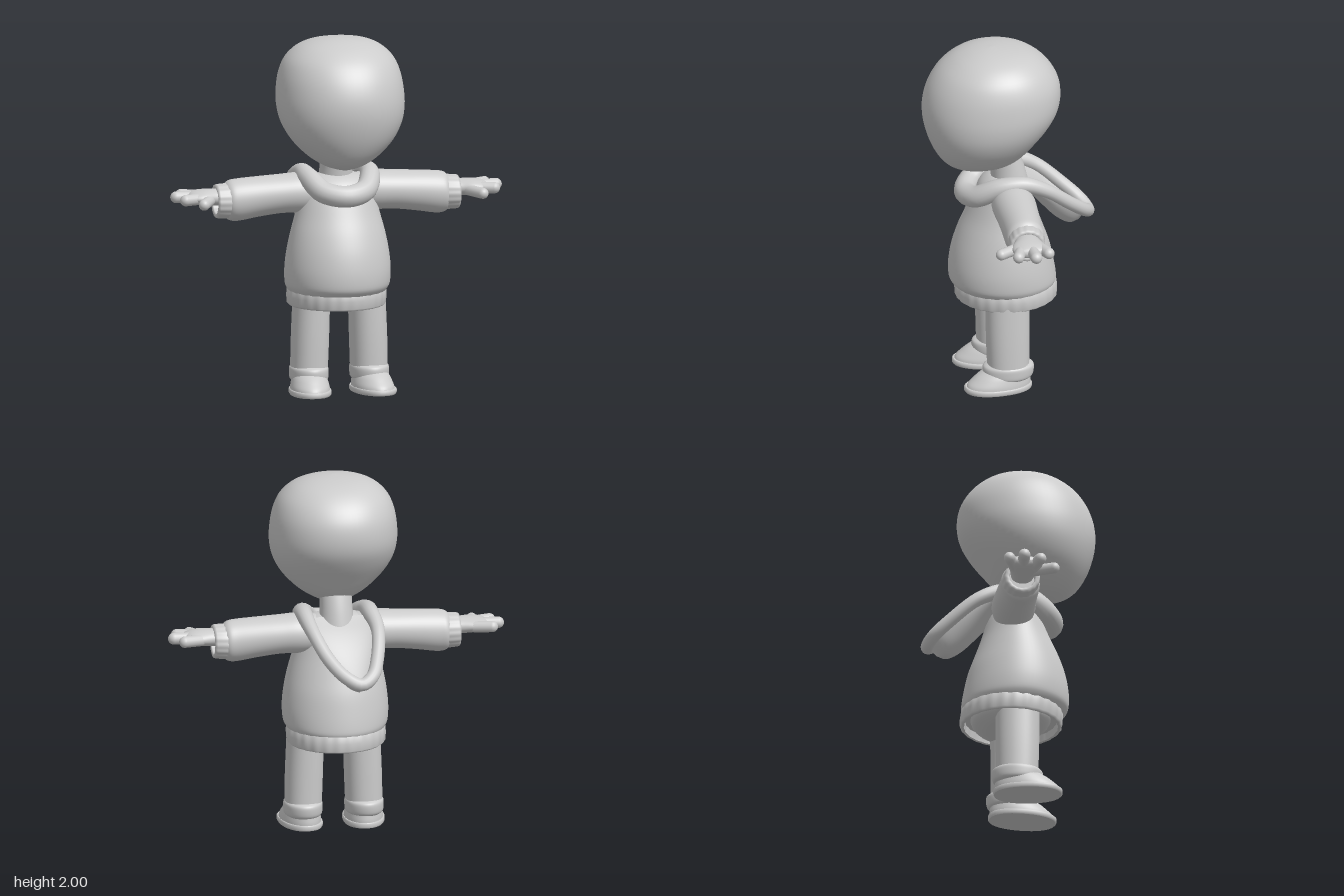
import * as THREE from 'three';

const grey = new THREE.MeshStandardMaterial({ color: 0xcccccc });
const greyDouble = new THREE.MeshStandardMaterial({ color: 0xcccccc, side: THREE.DoubleSide });
const V = (x, y, z) => new THREE.Vector3(x, y, z);

function spline(rows, t) {
  const k = Math.min(Math.floor(t), rows.length - 2), f = t - k;
  const at = i => rows[Math.max(0, Math.min(rows.length - 1, i))];
  return rows[k].map((b, c) => {
    const a = at(k - 1)[c], d = at(k + 1)[c], e = at(k + 2)[c];
    const m0 = (d - a) / 2, m1 = (e - b) / 2;
    return b + m0 * f + (3 * (d - b) - 2 * m0 - m1) * f * f + (2 * (b - d) + m0 + m1) * f * f * f;
  });
}

// Closed skin over rows of [height, half width, front z, back z, centre x]; repeated rows make a crease
function loft(rows, { steps = 4, segs = 48, power = 2, ribs = 0, ribDepth = 0 } = {}) {
  rows = rows.map(r => [r[0], r[1], r[2], r[3], r[4] ?? 0]);
  const rings = [];
  for (let i = 0; i <= (rows.length - 1) * steps; i++) rings.push(spline(rows, i / steps));
  const cap = r => [r[0], 0, (r[2] + r[3]) / 2, (r[2] + r[3]) / 2, r[4]];
  const first = rings[0], last = rings[rings.length - 1];
  rings.unshift(cap(first), first);
  rings.push(last, cap(last));
  const pos = [], index = [];
  const bend = v => Math.sign(v) * Math.abs(v) ** (2 / power);
  rings.forEach(([y, w, zf, zb, cx], j) => {
    for (let i = 0; i < segs; i++) {
      const a = i / segs * Math.PI * 2, k = 1 + ribDepth * Math.cos(a * ribs);
      pos.push(cx + w * k * bend(Math.cos(a)), y, (zf + zb) / 2 + (zf - zb) / 2 * k * bend(Math.sin(a)));
      if (j === rings.length - 1) continue;
      const p = j * segs + i, q = j * segs + (i + 1) % segs;
      index.push(p, p + segs, q, q, p + segs, q + segs);
    }
  });
  const g = new THREE.BufferGeometry();
  g.setAttribute('position', new THREE.Float32BufferAttribute(pos, 3));
  g.setIndex(index);
  g.computeVertexNormals();
  return g;
}

// Closed tube whose radius follows a rule
function ringTube(points, radius) {
  const curve = new THREE.CatmullRomCurve3(points, true), n = 96, m = 16;
  const g = new THREE.TubeGeometry(curve, n, 1, m, true);
  const p = g.attributes.position, nor = g.attributes.normal;
  for (let i = 0; i < p.count; i++) {
    const c = curve.getPointAt(Math.floor(i / (m + 1)) / n % 1);
    const q = V().fromBufferAttribute(nor, i).multiplyScalar(radius(c)).add(c);
    p.setXYZ(i, q.x, q.y, q.z);
  }
  return g;
}

// Trough slung between two edge curves, sinking by depth(v) along its length
function trough(left, right, depth) {
  const g = new THREE.PlaneGeometry(1, 1, 24, 24), p = g.attributes.position;
  const leftCurve = new THREE.CatmullRomCurve3(left), rightCurve = new THREE.CatmullRomCurve3(right);
  for (let i = 0; i < p.count; i++) {
    const v = 0.5 - p.getY(i), a = (p.getX(i) + 0.5) * Math.PI;
    const l = leftCurve.getPoint(v), r = rightCurve.getPoint(v);
    const d = depth(v) * Math.max(0, Math.sin(a)) ** 0.7;
    const q = l.clone().add(r).multiplyScalar(0.5).addScaledVector(l.sub(r), Math.cos(a) / 2);
    p.setXYZ(i, q.x, q.y - 0.74 * d, q.z + 0.67 * d);
  }
  g.computeVertexNormals();
  return g;
}

function finger(a, b, r) {
  const d = b.clone().sub(a), g = new THREE.CapsuleGeometry(r, d.length(), 8, 16);
  g.applyQuaternion(new THREE.Quaternion().setFromUnitVectors(V(0, 1, 0), d.normalize()));
  const mid = a.clone().add(b).multiplyScalar(0.5);
  return g.translate(mid.x, mid.y, mid.z);
}

export function createModel() {
  const model = new THREE.Group();
  const add = (name, geometry, parent = model, material = grey) => {
    const mesh = new THREE.Mesh(geometry, material);
    mesh.name = name;
    parent.add(mesh);
    return mesh;
  };

  // Head and neck
  add('head', loft([
    [1.268, 0.02, 0.23, 0.1], [1.282, 0.08, 0.285, 0.045], [1.31, 0.14, 0.345, -0.015],
    [1.36, 0.21, 0.397, -0.075], [1.44, 0.285, 0.443, -0.14], [1.53, 0.334, 0.474, -0.21],
    [1.62, 0.353, 0.488, -0.262], [1.71, 0.351, 0.481, -0.28], [1.8, 0.336, 0.45, -0.268],
    [1.88, 0.303, 0.395, -0.222], [1.94, 0.245, 0.32, -0.155], [1.975, 0.175, 0.245, -0.08],
    [1.993, 0.095, 0.175, 0.01], [2, 0.01, 0.11, 0.09]], { segs: 64, power: 2.1 }));
  add('neck', loft([[1.15, 0.1, 0.1, -0.11], [1.27, 0.09, 0.11, -0.08], [1.42, 0.09, 0.13, -0.03]]));

  // Hooded top with a ribbed, hollow hem
  add('torso', loft([
    [0.56, 0.262, 0.295, -0.24], [0.585, 0.28, 0.325, -0.255], [0.62, 0.292, 0.34, -0.255],
    [0.7, 0.295, 0.34, -0.242], [0.8, 0.284, 0.322, -0.22], [0.9, 0.264, 0.288, -0.185],
    [1, 0.238, 0.243, -0.15], [1.1, 0.215, 0.2, -0.12], [1.17, 0.19, 0.165, -0.09],
    [1.21, 0.15, 0.12, -0.065], [1.225, 0.09, 0.08, -0.04]], { segs: 64 }));
  add('hem', loft([
    [0.53, 0.245, 0.275, -0.235], [0.49, 0.25, 0.28, -0.24], [0.49, 0.25, 0.28, -0.24],
    [0.487, 0.262, 0.292, -0.252], [0.497, 0.273, 0.303, -0.262], [0.54, 0.276, 0.306, -0.262],
    [0.577, 0.274, 0.306, -0.256], [0.592, 0.26, 0.29, -0.24]],
  { steps: 1, segs: 160, ribs: 26, ribDepth: 0.006 }));
  add('hips', loft([
    [0.455, 0.1, 0.1, -0.08], [0.465, 0.18, 0.15, -0.13], [0.5, 0.235, 0.22, -0.19], [0.55, 0.24, 0.25, -0.21]]));

  // Hood: rolled rim round the neck, with the lined bag hanging behind
  const left = [V(0.185, 1.225, -0.05), V(0.165, 1.17, -0.18), V(0.1, 1.05, -0.33), V(0.02, 0.97, -0.42), V(-0.06, 0.935, -0.45)];
  const right = [V(-0.185, 1.225, -0.05), V(-0.2, 1.17, -0.18), V(-0.17, 1.05, -0.33), V(-0.125, 0.97, -0.42), V(-0.06, 0.935, -0.45)];
  const front = [V(-0.175, 1.21, 0.09), V(-0.115, 1.145, 0.205), V(0, 1.124, 0.25), V(0.115, 1.145, 0.205), V(0.175, 1.21, 0.09)];
  add('hoodRim', ringTube([...front, ...left, ...right.slice(0, 4).reverse()],
    c => 0.037 + 0.024 * THREE.MathUtils.smoothstep(c.z, -0.25, 0.22)));
  add('hoodBag', trough(left, right, v => 0.03 + 0.11 * Math.sin(v * Math.PI * 0.85)), model, greyDouble);
  add('hoodLining', trough(left, right, v => 0.01 + 0.055 * Math.sin(v * Math.PI * 0.85)), model, greyDouble);

  for (const s of [1, -1]) {
    const side = s > 0 ? 'left' : 'right';

    // Arm: rows run outward along x as [x, half height, front z, back z, centre y]
    const arm = new THREE.Group();
    arm.name = side + 'Arm';
    model.add(arm);
    const along = (rows, o) => loft(rows.map(r => [r[0], r[1], r[2], r[3], -s * r[4]]), o).rotateZ(-s * Math.PI / 2);
    add('sleeve', along([
      [0.08, 0.1, 0.12, -0.075, 1.115], [0.2, 0.112, 0.135, -0.105, 1.12], [0.32, 0.109, 0.133, -0.102, 1.117],
      [0.45, 0.113, 0.13, -0.095, 1.106], [0.56, 0.118, 0.13, -0.09, 1.094], [0.61, 0.112, 0.125, -0.088, 1.092],
      [0.635, 0.092, 0.105, -0.07, 1.092]]), arm);
    add('cuff', along([
      [0.6, 0.09, 0.11, -0.07, 1.09], [0.622, 0.098, 0.122, -0.083, 1.09], [0.68, 0.095, 0.122, -0.075, 1.09],
      [0.692, 0.09, 0.115, -0.068, 1.09], [0.692, 0.075, 0.1, -0.053, 1.09], [0.685, 0.068, 0.093, -0.046, 1.09],
      [0.645, 0.068, 0.093, -0.046, 1.09]], { steps: 1, segs: 96, ribs: 16, ribDepth: 0.012 }), arm);
    add('palm', along([
      [0.63, 0.045, 0.085, -0.035, 1.112], [0.7, 0.047, 0.1, -0.045, 1.115], [0.76, 0.045, 0.125, -0.06, 1.117],
      [0.81, 0.039, 0.122, -0.07, 1.117], [0.845, 0.026, 0.1, -0.05, 1.117], [0.855, 0.004, 0.05, 0, 1.117]]), arm);
    // Each finger: base x, y, z, tip x, y, z, radius
    const fingers = [
      [0.77, 1.115, -0.03, 0.865, 1.12, -0.064, 0.032],
      [0.79, 1.118, 0.02, 0.912, 1.12, 0.015, 0.033],
      [0.78, 1.115, 0.075, 0.88, 1.115, 0.108, 0.032],
      [0.74, 1.105, 0.09, 0.795, 1.1, 0.19, 0.031]];
    for (const [x, y, z, X, Y, Z, r] of fingers)
      add(Z > 0.15 ? 'thumb' : 'finger', finger(V(s * x, y, z), V(s * X, Y, Z), r), arm);

    // Leg, rolled trouser cuff and shoe turned slightly outward; the stance is a little off centre
    const leg = new THREE.Group();
    leg.name = side + 'Leg';
    leg.position.x = s > 0 ? 0.002 : 0.018;
    model.add(leg);
    add('trouserLeg', loft([
      [0.08, 0.102, 0.155, -0.075, s * 0.18], [0.3, 0.104, 0.163, -0.078, s * 0.174],
      [0.53, 0.102, 0.165, -0.08, s * 0.166]], { power: 2.2 }), leg);
    add('trouserCuff', loft([
      [0.065, 0.09, 0.15, -0.075, s * 0.18], [0.08, 0.105, 0.178, -0.095, s * 0.18],
      [0.115, 0.108, 0.185, -0.103, s * 0.18], [0.14, 0.106, 0.18, -0.1, s * 0.18],
      [0.153, 0.095, 0.16, -0.08, s * 0.18]]), leg);
    const shoe = new THREE.Group();
    shoe.name = 'shoe';
    shoe.position.set(s * 0.18, 0, 0.04);
    shoe.rotation.y = s * 0.12;
    leg.add(shoe);
    add('sole', loft([
      [0, 0.112, 0.245, -0.128], [0.008, 0.117, 0.252, -0.132], [0.024, 0.117, 0.252, -0.132], [0.03, 0.112, 0.245, -0.128]],
    { steps: 1, power: 2.2 }), shoe);
    add('upper', loft([
      [0.025, 0.11, 0.24, -0.125], [0.045, 0.108, 0.23, -0.125], [0.07, 0.102, 0.203, -0.122],
      [0.095, 0.094, 0.172, -0.12], [0.12, 0.08, 0.13, -0.11], [0.13, 0.06, 0.1, -0.09]]), shoe);
  }
  return model;
}
